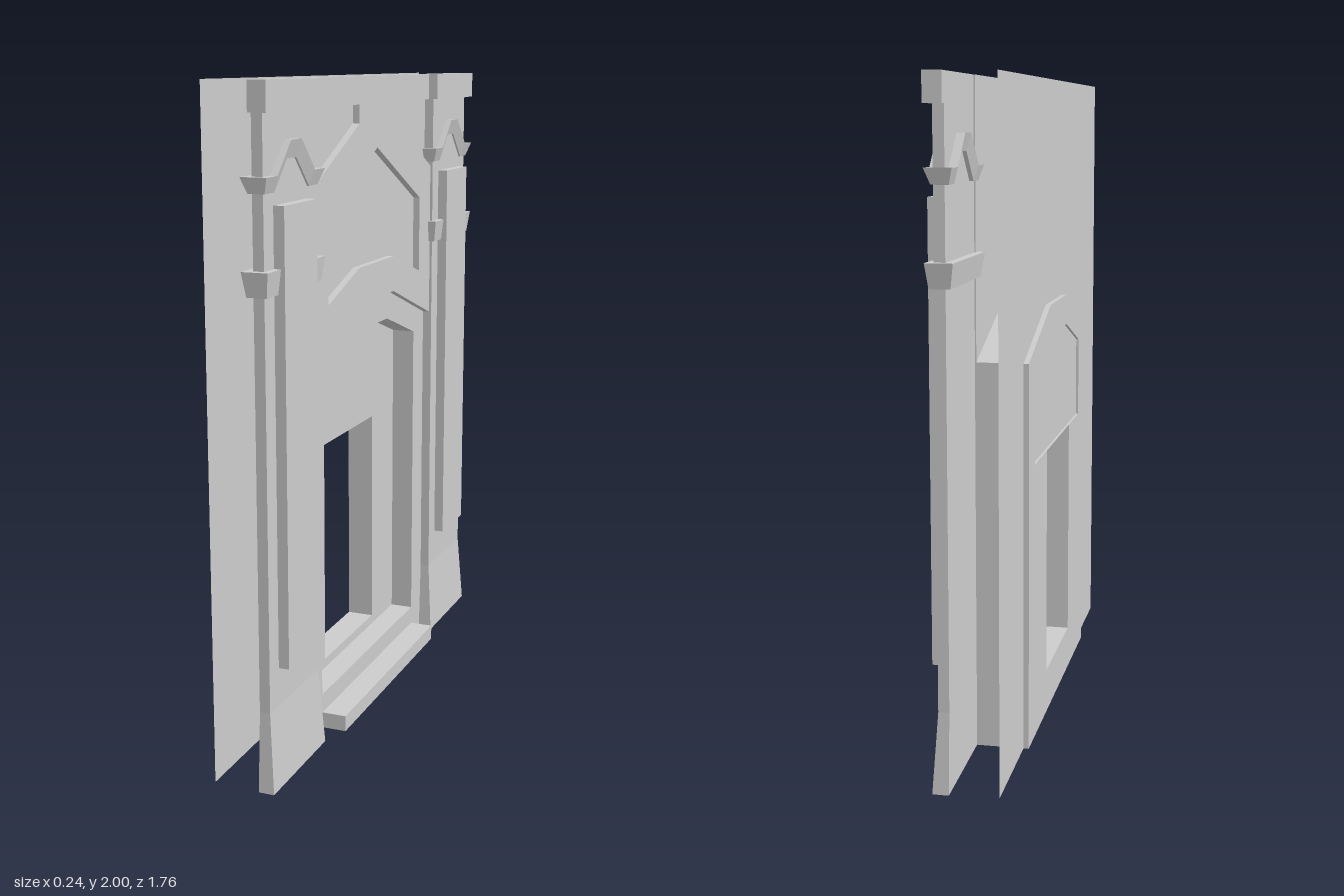
import * as THREE from 'three';
import { toCreasedNormals } from 'three/addons/utils/BufferGeometryUtils.js';

const material = new THREE.MeshStandardMaterial({ color: 0xcccccc });
const sheetMaterial = new THREE.MeshStandardMaterial({ color: 0xcccccc, side: THREE.DoubleSide });

// The facade faces +x: outlines are [z, y], symmetric about z = 0, and depth runs along x.
const toVectors = (pts) => pts.map(([z, y]) => new THREE.Vector2(z, y));

function outline(pts, holes = []) {
  const shape = new THREE.Shape(toVectors(pts));
  holes.forEach((h) => shape.holes.push(new THREE.Path(toVectors(h))));
  return shape;
}

function slab(pts, x0, x1, holes) {
  const geo = new THREE.ExtrudeGeometry(outline(pts, holes), { depth: x1 - x0, bevelEnabled: false });
  return geo.rotateY(Math.PI / 2).translate(x0, 0, 0);
}

// Completes a half outline (z > 0, bottom to top) with its mirror image.
const mirrored = (half) => [...half, ...half.map(([z, y]) => [-z, y]).reverse()];
const rect = (z, y0, y1) => mirrored([[z, y0], [z, y1]]);

// Box centred on z = 0 with half width w.
function block(x0, x1, y0, y1, w) {
  return new THREE.BoxGeometry(x1 - x0, y1 - y0, w * 2)
    .translate((x0 + x1) / 2, (y0 + y1) / 2, 0);
}

// Block whose bottom face takes its own depth range and half width.
function taperedBlock(x0, x1, y0, y1, w, bottom) {
  const geo = block(x0, x1, y0, y1, w);
  const p = geo.attributes.position;
  for (let i = 0; i < p.count; i++) {
    if (p.getY(i) > (y0 + y1) / 2) continue;
    p.setX(i, p.getX(i) > (x0 + x1) / 2 ? bottom.x1 : bottom.x0);
    p.setZ(i, Math.sign(p.getZ(i)) * bottom.w);
  }
  geo.computeVertexNormals();
  return geo;
}

// Bent moulding: four-cornered sections joined from one end to the other.
function bentMoulding() {
  const upper = mirrored([[0.195, 1.75], [0.125, 1.75], [0.035, 1.84]]);
  const lower = mirrored([[0.175, 1.705], [0.115, 1.705], [0.03, 1.79]]);
  const sections = upper.map(([uz, uy], i) => {
    const [lz, ly] = lower[i];
    return [[0.028, ly, lz], [0.078, ly, lz], [0.093, uy, uz], [0.015, uy, uz]];
  });
  const pos = [];
  const quad = (a, b, c, d) => pos.push(...a, ...b, ...c, ...a, ...c, ...d);
  for (let i = 0; i < sections.length - 1; i++) {
    const s = sections[i];
    const t = sections[i + 1];
    for (let k = 0; k < 4; k++) {
      const n = (k + 1) % 4;
      quad(s[k], t[k], t[n], s[n]);
    }
  }
  quad(...sections[0]);
  quad(...sections[sections.length - 1].slice().reverse());
  const geo = new THREE.BufferGeometry();
  geo.setAttribute('position', new THREE.Float32BufferAttribute(pos, 3));
  geo.computeVertexNormals();
  return geo;
}

function add(parent, name, geo, mat = material) {
  const mesh = new THREE.Mesh(geo, mat);
  mesh.name = name;
  parent.add(mesh);
}

function createPilaster(name, z) {
  const g = new THREE.Group();
  g.name = name;
  add(g, 'shaft', block(0.04, 0.072, 0.24, 1.916, 0.172));
  add(g, 'flaredBase', taperedBlock(0.04, 0.072, 0, 0.24, 0.172, { x0: 0.04, x1: 0.088, w: 0.187 }));
  add(g, 'raisedPanel', block(0.072, 0.104, 0.355, 1.67, 0.11));
  add(g, 'collar', taperedBlock(0.014, 0.093, 1.43, 1.5, 0.195, { x0: 0.024, x1: 0.084, w: 0.183 }));
  add(g, 'bentMoulding', bentMoulding());
  add(g, 'topCap', block(0.04, 0.094, 1.916, 2, 0.195));
  g.position.z = z;
  return g;
}

export function createModel() {
  const model = new THREE.Group();
  model.name = 'fireplaceFacade';

  const doorway = rect(0.21, 0.14, 0.86);
  const innerArch = mirrored([[0.41, 0.11], [0.41, 1.125], [0.15, 1.212]]);

  // Thin rear sheet
  const sheet = new THREE.ShapeGeometry(outline(rect(0.86, 0, 2), [doorway]));
  add(model, 'rearSheet', sheet.rotateY(Math.PI / 2).translate(-0.104, 0, 0), sheetMaterial);

  // Arched surround, softly shaded over the arch
  const surround = slab(mirrored([[0.51, 0], [0.51, 1.18], [0.15, 1.31]]), -0.12, 0.042, [innerArch]);
  add(model, 'archSurround', toCreasedNormals(surround, Math.PI / 5));

  // Recessed infill: door frame below, plain panel above
  add(model, 'doorFrame', slab(rect(0.41, 0.11, 0.86), -0.12, -0.033, [doorway]));
  add(model, 'archPanel', slab(mirrored([[0.41, 0.86], [0.41, 1.125], [0.15, 1.212]]), -0.112, -0.033));
  add(model, 'hearthStep', block(0.035, 0.12, 0, 0.05, 0.41));

  // Upper wall: plain backing and a front layer with a gabled panel cut out
  const arch = [[0.15, 1.305], [0.51, 1.18]];
  const gablePanel = mirrored([[0.15, 1.42], [0.4, 1.34], [0.4, 1.59], [0, 1.78]]);
  gablePanel.splice(4, 1); // the apex is shared by both halves
  add(model, 'wallBacking', slab(mirrored([...arch, [0.51, 2]]), 0.036, 0.042));
  add(model, 'wallFront', slab(mirrored([...arch, [0.51, 1.69], [0.15, 1.86],
    [0.15, 1.916], [0.51, 1.916], [0.51, 2]]), 0.042, 0.064, [gablePanel]));

  model.add(createPilaster('leftPilaster', 0.683), createPilaster('rightPilaster', -0.683));
  return model;
}
